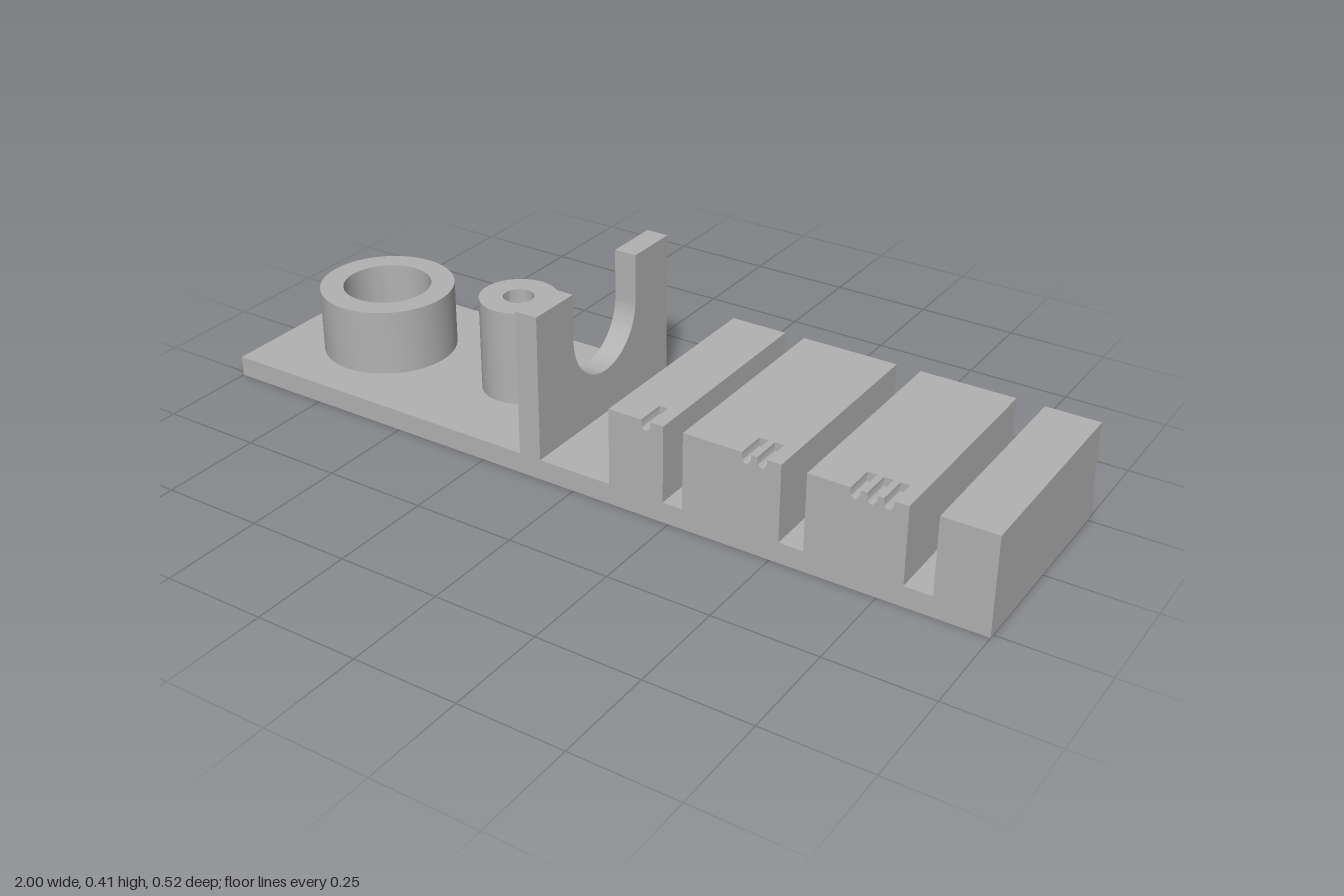
import * as THREE from 'three';
import { toCreasedNormals } from 'three/addons/utils/BufferGeometryUtils.js';

const HALF_DEPTH = 0.262;
const PLATE = 0.05;       // plate thickness
const BLOCK_TOP = 0.238;
const NOTCH_Z = 0.19;     // notches run from here to the front face

export function createModel() {
  const model = new THREE.Group();
  const grey = new THREE.MeshStandardMaterial({ color: 0xb2b2b2 });
  grey.name = 'plain grey';

  const add = (name, geometry) => {
    const mesh = new THREE.Mesh(toCreasedNormals(geometry, 0.5), grey);
    mesh.name = name;
    model.add(mesh);
    return mesh;
  };
  const extrude = (shape, depth) =>
    new THREE.ExtrudeGeometry(shape, { depth, bevelEnabled: false, curveSegments: 32 });

  // Base plate with a through hole under the wide ring
  const plate = new THREE.Shape();
  plate.moveTo(-1, -HALF_DEPTH);
  plate.lineTo(1, -HALF_DEPTH);
  plate.lineTo(1, HALF_DEPTH);
  plate.lineTo(-1, HALF_DEPTH);
  plate.closePath();
  const hole = new THREE.Path();
  hole.absarc(-0.74, 0, 0.062, 0, Math.PI * 2, true);
  plate.holes.push(hole);
  add('basePlate', extrude(plate, PLATE).rotateX(-Math.PI / 2));

  // Hollow round posts standing on the plate
  const post = (name, x, outer, inner, top) => {
    const profile = [[outer, PLATE], [outer, top], [inner, top], [inner, PLATE]]
      .map(([r, y]) => new THREE.Vector2(r, y));
    add(name, new THREE.LatheGeometry(profile, 64).translate(x, 0, 0));
  };
  post('wideRing', -0.74, 0.165, 0.108, 0.214);
  post('narrowPost', -0.335, 0.094, 0.037, 0.287);

  // Upright cradle with a U-shaped cutout
  const cradle = new THREE.Shape();
  cradle.moveTo(-HALF_DEPTH, PLATE);
  cradle.lineTo(HALF_DEPTH, PLATE);
  cradle.lineTo(HALF_DEPTH, 0.405);
  cradle.lineTo(0.125, 0.405);
  cradle.lineTo(0.125, 0.287);
  cradle.absarc(0, 0.287, 0.125, 0, -Math.PI, true);
  cradle.lineTo(-0.125, 0.405);
  cradle.lineTo(-HALF_DEPTH, 0.405);
  cradle.closePath();
  add('cradleWall', extrude(cradle, 0.056).rotateY(Math.PI / 2).translate(-0.146, 0, 0));

  // Side profile of a block, with round-bottomed notches cut in its top edge
  const blockShape = (x0, x1, notches) => {
    const r = 0.011, y = BLOCK_TOP - 0.013;
    const s = new THREE.Shape();
    s.moveTo(x0, PLATE);
    s.lineTo(x1, PLATE);
    s.lineTo(x1, BLOCK_TOP);
    for (const x of [...notches].reverse()) {
      s.lineTo(x + r, BLOCK_TOP);
      s.lineTo(x + r, y);
      s.absarc(x, y, r, 0, -Math.PI, true);
      s.lineTo(x - r, BLOCK_TOP);
    }
    s.lineTo(x0, BLOCK_TOP);
    s.closePath();
    return s;
  };

  // Row of blocks marked with one, two and three notches, then a plain end block
  const blocks = [
    [0.096, 0.235, [0.191]],
    [0.284, 0.52, [0.438, 0.475]],
    [0.579, 0.807, [0.689, 0.726, 0.763]],
    [0.872, 1, []],
  ];
  blocks.forEach(([x0, x1, notches], i) => {
    const back = notches.length ? NOTCH_Z : HALF_DEPTH;
    add(`block${i + 1}`, extrude(blockShape(x0, x1, []), back + HALF_DEPTH).translate(0, 0, -HALF_DEPTH));
    if (notches.length) {
      add(`notchedEdge${i + 1}`, extrude(blockShape(x0, x1, notches), HALF_DEPTH - NOTCH_Z).translate(0, 0, NOTCH_Z));
    }
  });

  return model;
}
